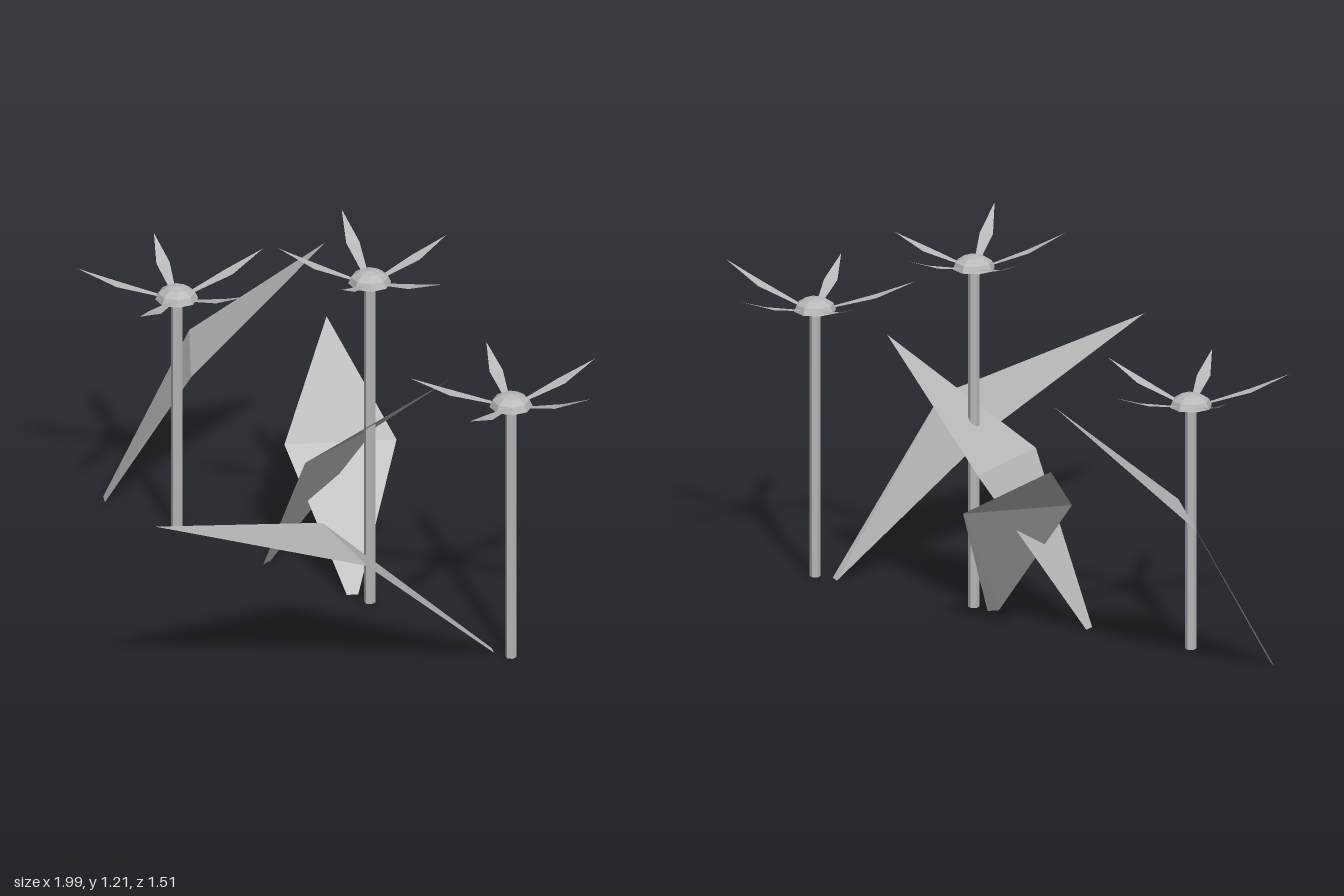
import * as THREE from 'three';

const Z = -0.295; // the flowers stand in one row

// Folded five-point blade: base edge, wide middle edge, pointed tip
function blade(name, points, material) {
  const indexed = new THREE.BufferGeometry();
  indexed.setAttribute('position', new THREE.Float32BufferAttribute(points.flat(), 3));
  indexed.setIndex([0, 1, 3, 0, 3, 2, 2, 3, 4]);
  const geometry = indexed.toNonIndexed();
  geometry.computeVertexNormals();
  const mesh = new THREE.Mesh(geometry, material);
  mesh.name = name;
  return mesh;
}

// Narrow petal from the flower centre out to a tip offset
function petal([tx, ty, tz], material) {
  const length = Math.hypot(tx, tz);
  const ux = tx / length, uz = tz / length;
  const at = (r, y, side) => [ux * r - uz * side, y, uz * r + ux * side];
  const mid = length * 0.6;
  return blade('petal', [
    at(0.045, 0.008, -0.008), at(0.045, 0.008, 0.008),
    at(mid, ty * 0.47, -0.021), at(mid, ty * 0.47, 0.021),
    [tx, ty, tz],
  ], material);
}

function flower(x, height, tips, material) {
  const group = new THREE.Group();
  group.name = 'flower';
  group.position.set(x, 0, Z);

  // Six-sided stem
  const stem = new THREE.Mesh(new THREE.CylinderGeometry(0.0175, 0.0175, height, 6), material);
  stem.name = 'stem';
  stem.position.y = height / 2;
  group.add(stem);

  // Faceted dome with a closed underside
  const head = new THREE.Group();
  head.name = 'flowerHead';
  head.position.y = height;
  const dome = new THREE.Mesh(
    new THREE.SphereGeometry(0.066, 8, 3, 0, Math.PI * 2, 0, Math.PI / 2), material);
  dome.name = 'dome';
  dome.scale.y = 0.65;
  const base = new THREE.Mesh(new THREE.CircleGeometry(0.066, 8), material);
  base.name = 'domeBase';
  base.rotation.x = Math.PI / 2;
  head.add(dome, base);
  for (const tip of tips) head.add(petal(tip, material));
  group.add(head);
  return group;
}

export function createModel() {
  const model = new THREE.Group();
  model.name = 'flowerPatch';
  const gray = new THREE.MeshStandardMaterial({
    color: 0xb8b8b8, flatShading: true, side: THREE.DoubleSide,
  });
  gray.name = 'gray';

  // Flowers: x, stem height, petal tip offsets
  const flowers = [
    [-0.69, 0.778, [[0.3, 0.105, 0], [0.09, 0.092, -0.3], [-0.235, 0.09, -0.16],
      [-0.24, 0.095, 0.19], [0.115, 0.085, 0.3]]],
    [0.1, 1.087, [[0.275, 0.075, -0.02], [0.07, 0.085, -0.275], [-0.27, 0.1, -0.175],
      [-0.225, 0.107, 0.17], [0.107, 0.118, 0.285]]],
    [0.678, 0.853, [[0.312, 0.117, -0.02], [0.092, 0.088, -0.285], [-0.24, 0.085, -0.157],
      [-0.245, 0.085, 0.19], [0.097, 0.088, 0.3]]],
  ];
  for (const [x, height, tips] of flowers) model.add(flower(x, height, tips, gray));

  // Large leaves: base edge, middle edge, tip
  const leaves = [
    [[-1, 0, -0.305], [-0.97, 0, -0.28], [-0.905, 0.493, -0.595], [-0.68, 0.493, -0.35], [-0.492, 0.865, -0.76]],
    [[0.015, 0, -0.285], [0.04, 0, -0.31], [-0.28, 0.4, -0.33], [-0.047, 0.4, -0.585], [-0.453, 0.64, -0.72]],
    [[-0.318, 0, -0.275], [-0.318, 0, -0.308], [-0.025, 0.49, -0.138], [-0.03, 0.49, -0.475], [0.39, 0.835, -0.335]],
    [[0.595, 0, -0.3], [0.623, 0, -0.28], [0.255, 0.463, 0.1], [0.56, 0.463, 0.235], [0.152, 0.655, 0.755]],
  ];
  for (const points of leaves) model.add(blade('leaf', points, gray));

  return model;
}
